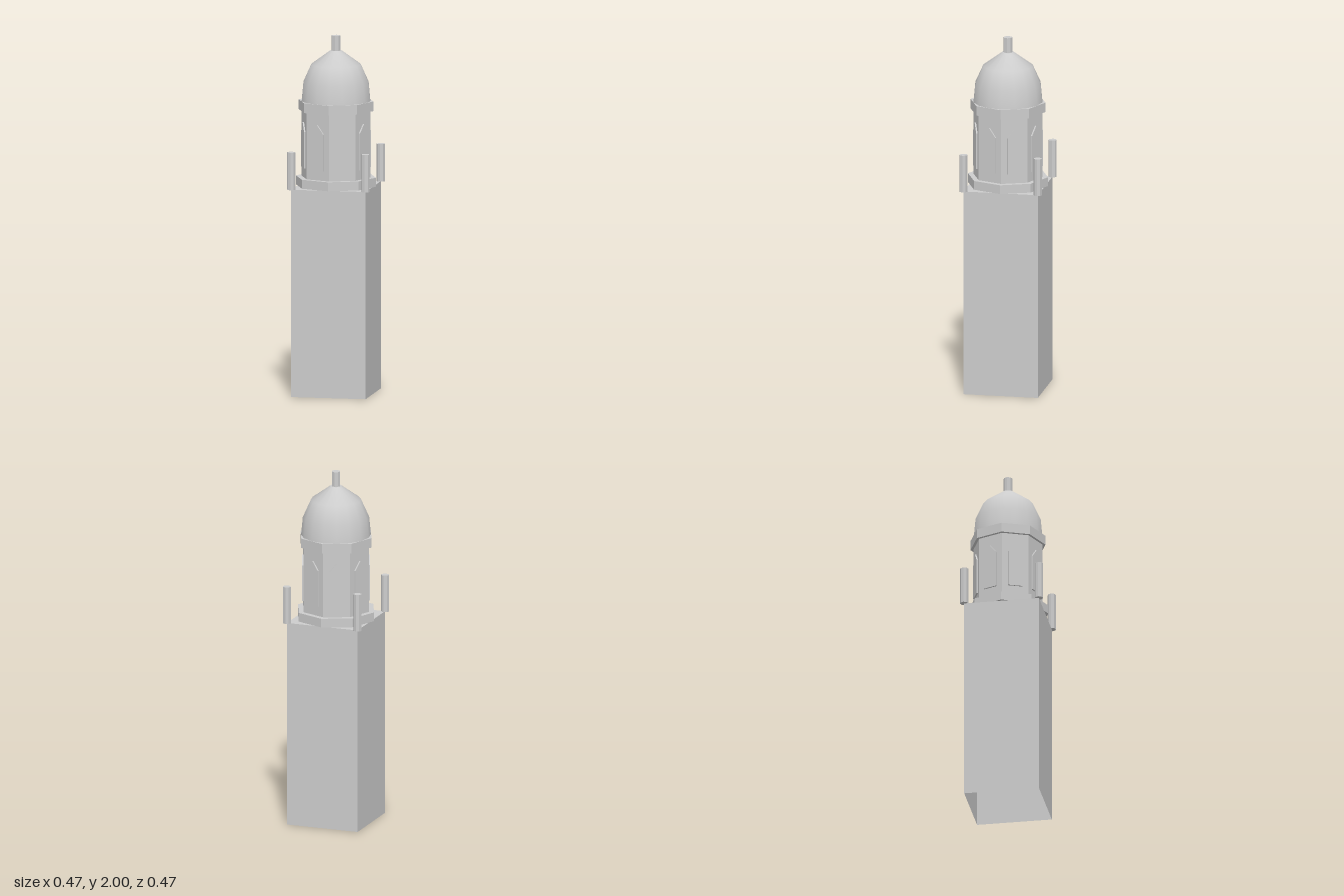
import * as THREE from 'three';

export function createModel() {
  const model = new THREE.Group();
  model.name = 'domedTower';

  const stone = new THREE.MeshStandardMaterial({ color: 0xcccccc, side: THREE.DoubleSide });
  stone.name = 'paleStone';

  const add = (name, geometry, parent = model) => {
    const mesh = new THREE.Mesh(geometry, stone);
    mesh.name = name;
    parent.add(mesh);
    return mesh;
  };

  // Eight-sided prism with crisp edges, standing between two heights
  const prism = (name, radius, y0, y1) => {
    const geometry = new THREE.CylinderGeometry(radius, radius, y1 - y0, 8).toNonIndexed();
    geometry.computeVertexNormals();
    geometry.translate(0, (y0 + y1) / 2, 0);
    return add(name, geometry);
  };

  // Square shaft, open underneath
  const shaft = new THREE.BoxGeometry(0.42, 1.16, 0.42);
  const faces = Array.from(shaft.index.array);
  faces.splice(18, 6);
  shaft.setIndex(faces);
  shaft.clearGroups();
  shaft.translate(0, 0.58, 0);
  add('shaft', shaft);

  // Corner pinnacles
  for (const x of [-1, 1]) {
    for (const z of [-1, 1]) {
      prism('pinnacle', 0.023, 1.16, 1.37).position.set(x * 0.21, 0, z * 0.21);
    }
  }

  // Octagonal lantern
  const drumRadius = 0.195;
  prism('lanternBase', 0.226, 1.16, 1.21);
  prism('lanternDrum', drumRadius, 1.21, 1.585);
  prism('cornice', 0.211, 1.582, 1.636);

  // Pointed windows, one on each lantern face
  const outline = new THREE.Shape([
    new THREE.Vector2(-0.041, 1.265),
    new THREE.Vector2(0.041, 1.265),
    new THREE.Vector2(0.041, 1.47),
    new THREE.Vector2(0, 1.52),
    new THREE.Vector2(-0.041, 1.47),
  ]);
  const windowGeometry = new THREE.ExtrudeGeometry(outline, { depth: 0.008, bevelEnabled: false });
  windowGeometry.translate(0, 0, drumRadius * Math.cos(Math.PI / 8));
  const windows = new THREE.Group();
  windows.name = 'windows';
  model.add(windows);
  for (let i = 0; i < 8; i++) {
    add('window', windowGeometry, windows).rotation.y = (i + 0.5) * Math.PI / 4;
  }

  // Dome with a small flat crown
  const domeProfile = [[0.194, 1.63], [0.184, 1.737], [0.139, 1.838], [0.032, 1.916]]
    .map(([r, y]) => new THREE.Vector2(r, y));
  add('dome', new THREE.LatheGeometry(domeProfile, 16));
  const crown = new THREE.CircleGeometry(0.032, 16);
  crown.rotateX(-Math.PI / 2);
  crown.translate(0, 1.916, 0);
  add('domeCrown', crown);

  // Finial
  prism('finial', 0.025, 1.91, 2);

  return model;
}
